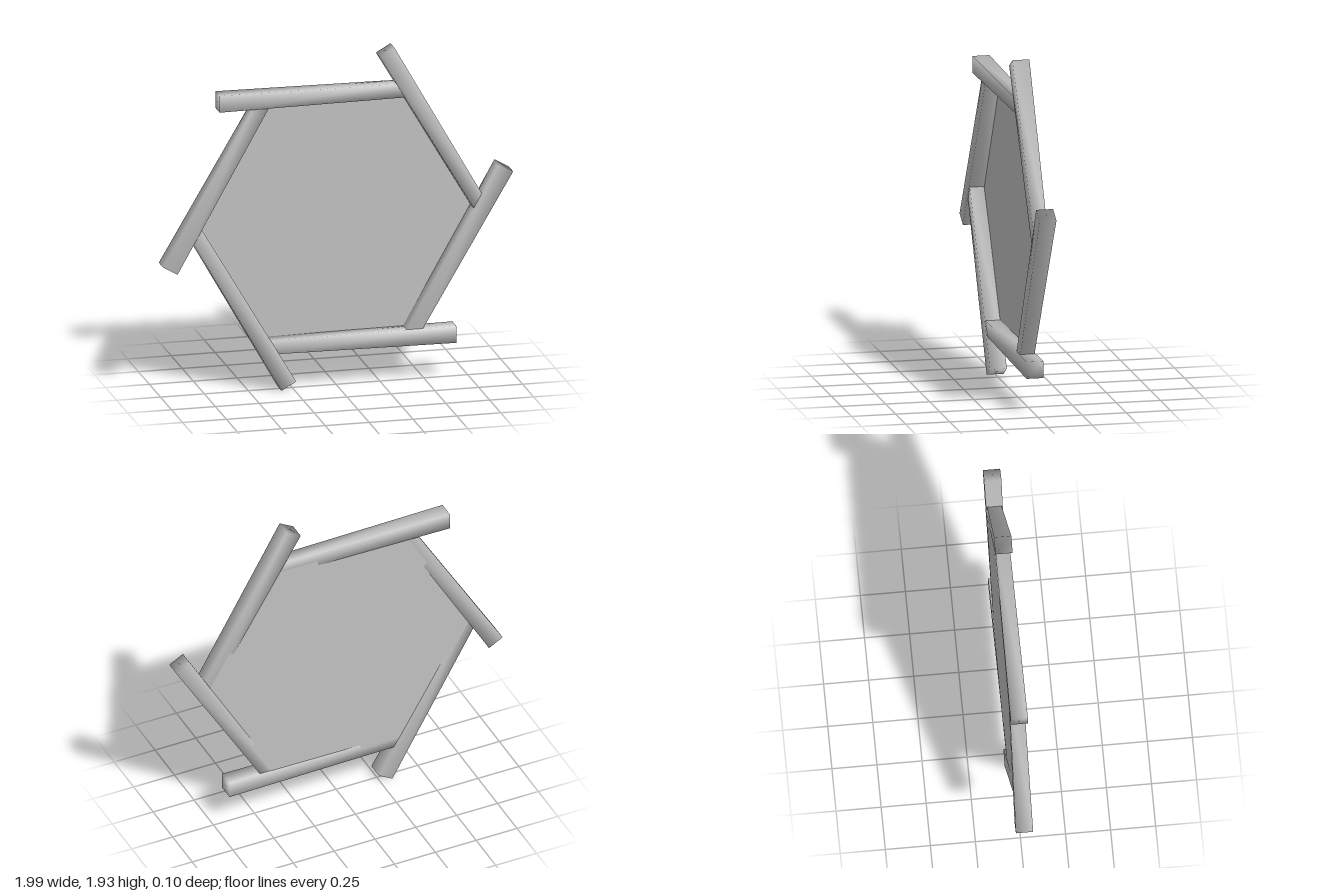
import * as THREE from 'three';
import { mergeVertices } from 'three/addons/utils/BufferGeometryUtils.js';

const CENTER_Y = 0.97;
const APOTHEM = 0.714; // distance from the centre to each bar's axis

// Square bar along x, thick at +x and thin at -x, with shared soft corners
function taperedBar(x0, x1, thin, thick) {
  const geo = new THREE.BoxGeometry(x1 - x0, 1, 1);
  geo.translate((x0 + x1) / 2, 0, 0);
  const p = geo.attributes.position;
  for (let i = 0; i < p.count; i++) {
    const w = p.getX(i) > 0 ? thick : thin;
    p.setY(i, p.getY(i) * w);
    p.setZ(i, p.getZ(i) * w);
  }
  geo.deleteAttribute('normal');
  geo.deleteAttribute('uv');
  const smooth = mergeVertices(geo);
  smooth.computeVertexNormals();
  return smooth;
}

export function createModel() {
  const model = new THREE.Group();
  model.name = 'hexagonalFrame';

  const grey = new THREE.MeshStandardMaterial({ color: 0xc0c0c0, side: THREE.DoubleSide });
  grey.name = 'lightGrey';

  // Six overlapping bars in a pinwheel
  const barGeo = taperedBar(-0.4, 0.675, 0.08, 0.096);
  barGeo.translate(0, -APOTHEM, 0);
  for (let i = 0; i < 6; i++) {
    const bar = new THREE.Mesh(barGeo, grey);
    bar.name = 'frameBar' + (i + 1);
    bar.position.y = CENTER_Y;
    bar.rotation.z = (i * Math.PI) / 3;
    model.add(bar);
  }

  // Flat hexagonal panel set toward the back of the frame
  const panel = new THREE.Mesh(new THREE.CircleGeometry(0.7 / Math.cos(Math.PI / 6), 6), grey);
  panel.name = 'panel';
  panel.position.set(0, CENTER_Y, -0.042);
  model.add(panel);

  return model;
}
